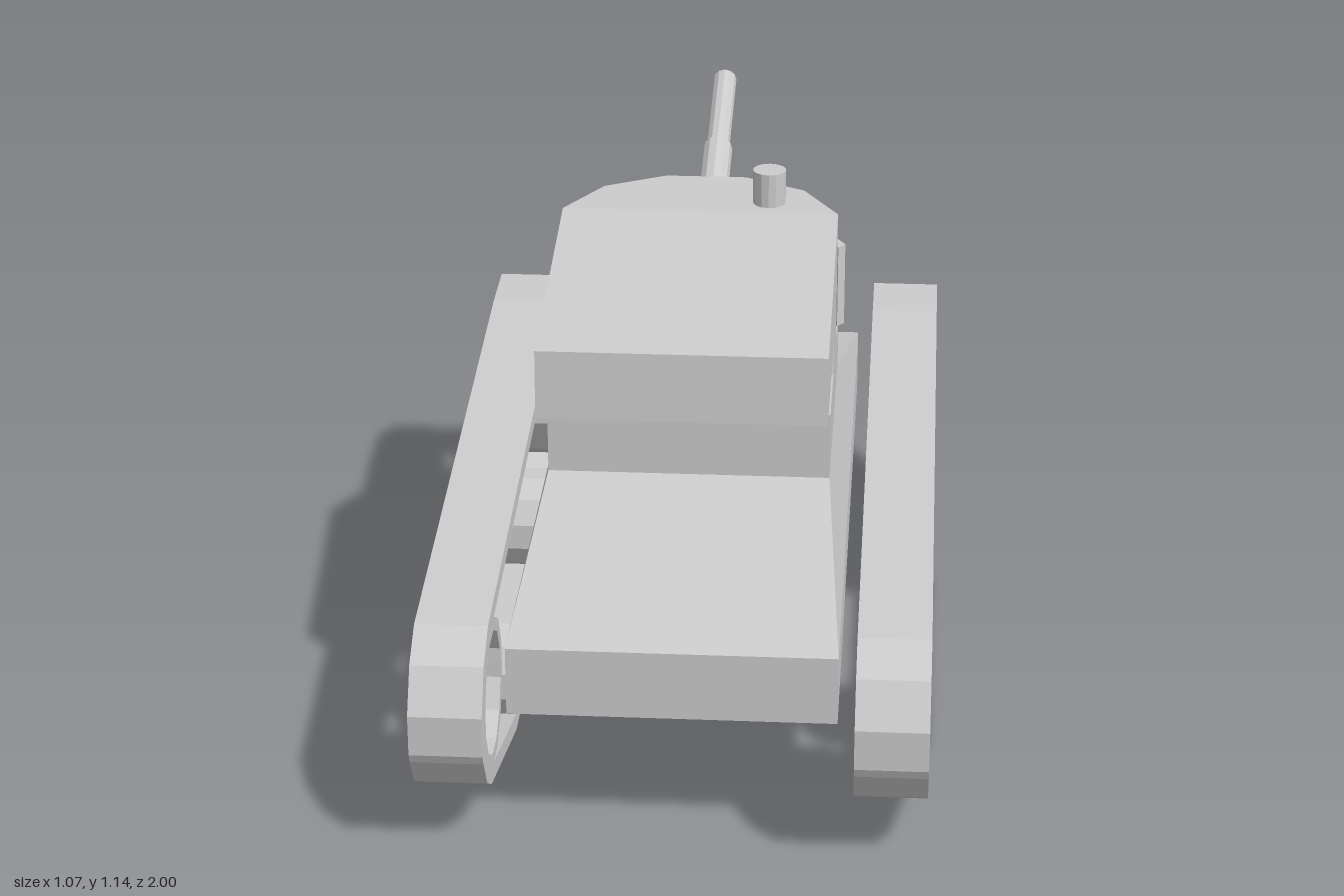
import * as THREE from 'three';
import { ConvexGeometry } from 'three/addons/geometries/ConvexGeometry.js';

const material = new THREE.MeshStandardMaterial({ color: 0xcccccc, flatShading: true });
const vec = ([x, y]) => new THREE.Vector2(x, y);

function add(parent, name, geometry) {
  const mesh = new THREE.Mesh(geometry, material);
  mesh.name = name;
  parent.add(mesh);
  return mesh;
}

// The hole is given in the same turning direction as the outline, and is reversed here
function extrude(outline, hole, depth) {
  const shape = new THREE.Shape(outline.map(vec));
  if (hole) shape.holes.push(new THREE.Path(hole.map(vec).reverse()));
  return new THREE.ExtrudeGeometry(shape, { depth, bevelEnabled: false });
}

// Side profile of [z, y] points, extruded across x from x0 to x1
function sidePrism(profile, x0, x1, hole) {
  const flip = (pts) => pts && pts.map(([z, y]) => [-z, y]);
  return extrude(flip(profile), flip(hole), x1 - x0).rotateY(Math.PI / 2).translate(x0, 0, 0);
}

// Plan of [x, z] points, extruded upwards from y0 to y1
function planPrism(plan, y0, y1) {
  return extrude(plan.map(([x, z]) => [x, -z]), null, y1 - y0).rotateX(-Math.PI / 2).translate(0, y0, 0);
}

// Completes a half plan (+x side) with its mirror image
const mirrored = (half) => [...half, ...half.map(([x, z]) => [-x, z]).reverse()];

function circle(z, y, r, n = 12) {
  return Array.from({ length: n }, (_, i) => {
    const a = ((i + 0.5) / n) * Math.PI * 2;
    return [z + r * Math.cos(a), y + r * Math.sin(a)];
  });
}

// Moves every edge of a clockwise loop inwards by d
function inset(pts, d) {
  const n = pts.length;
  const normal = (a, b) => {
    const l = Math.hypot(b[0] - a[0], b[1] - a[1]);
    return [(b[1] - a[1]) / l, (a[0] - b[0]) / l];
  };
  return pts.map((p, i) => {
    const a = normal(pts[(i + n - 1) % n], p);
    const b = normal(p, pts[(i + 1) % n]);
    const k = d / (1 + a[0] * b[0] + a[1] * b[1]);
    return [p[0] + (a[0] + b[0]) * k, p[1] + (a[1] + b[1]) * k];
  });
}

// Round bar between two [z, y] points on the centre line
function bar(from, to, r) {
  const a = new THREE.Vector3(0, from[1], from[0]);
  const b = new THREE.Vector3(0, to[1], to[0]);
  const dir = b.clone().sub(a);
  const g = new THREE.CylinderGeometry(r, r, dir.length(), 12);
  g.applyQuaternion(new THREE.Quaternion().setFromUnitVectors(new THREE.Vector3(0, 1, 0), dir.normalize()));
  const mid = a.add(b).multiplyScalar(0.5);
  return g.translate(mid.x, mid.y, mid.z);
}

export function createModel() {
  const model = new THREE.Group();
  model.name = 'tank';

  // Hull: stacked rectangles [y, half width, rear z, front z]
  const levels = [
    [0.23, 0.307, -0.32, 0.4],
    [0.306, 0.343, -0.788, 0.887],
    [0.458, 0.343, -0.788, 0.887],
    [0.61, 0.305, -0.254, 0.353],
  ];
  const corners = [];
  for (const [y, w, z0, z1] of levels)
    for (const x of [-w, w]) for (const z of [z0, z1]) corners.push(new THREE.Vector3(x, y, z));
  add(model, 'hull', new ConvexGeometry(corners));
  add(model, 'hullTop', new THREE.BoxGeometry(0.61, 0.15, 0.607).translate(0, 0.685, 0.0495));

  // Turret
  const turret = new THREE.Group();
  turret.name = 'turret';
  model.add(turret);
  const noseHalf = [[0.305, -0.04], [0.225, -0.18], [0.09, -0.254]];
  const neckHalf = [[0.085, 0.353], [0.225, 0.275], [0.305, 0.14], ...noseHalf];
  add(turret, 'turretNeck', planPrism(mirrored(neckHalf), 0.76, 0.84));
  add(turret, 'turretNose', planPrism(mirrored(noseHalf), 0.84, 1.066));
  add(turret, 'turretBody', sidePrism(
    [[-0.04, 0.84], [0.582, 0.84], [0.575, 0.99], [-0.04, 1.066]], -0.305, 0.305));
  add(turret, 'hatch', new THREE.CylinderGeometry(0.037, 0.037, 0.09, 14).translate(0.15, 1.098, -0.105));

  // Curved shield, mantlet and gun
  const shieldOuter = mirrored([[0.322, -0.052], [0.235, -0.215], [0.105, -0.303]]);
  const shieldInner = mirrored([[0.307, -0.034], [0.224, -0.198], [0.098, -0.283]]);
  add(turret, 'gunShield', planPrism([...shieldOuter, ...shieldInner.reverse()], 0.8, 0.99));
  add(turret, 'mantlet', sidePrism(
    [[-0.295, 0.975], [-0.365, 0.935], [-0.387, 0.91], [-0.387, 0.875], [-0.365, 0.85], [-0.295, 0.812]],
    -0.13, 0.13));
  const collar = add(turret, 'gunCollar', new THREE.BoxGeometry(0.116, 0.08, 0.05));
  collar.position.set(0, 0.898, -0.377);
  collar.rotation.x = 0.21;
  add(turret, 'gunSleeve', bar([-0.37, 0.897], [-0.695, 0.968], 0.035));
  add(turret, 'gunBarrel', bar([-0.68, 0.966], [-0.995, 1.037], 0.028));

  // Tracks and wheels, [z, y] outline and [z, y, outer radius, hole radius]
  const trackLoop = [
    [0.86, 0.495], [0.945, 0.445], [1, 0.355], [1, 0.265], [0.99, 0.243], [0.937, 0.167], [0.87, 0.125],
    [0.42, 0], [-0.37, 0], [-0.74, 0.145], [-0.83, 0.205], [-0.9, 0.34], [-0.9, 0.43],
    [-0.83, 0.555], [-0.745, 0.609], [-0.58, 0.609],
  ];
  const wheels = [
    ['frontWheel', 0.808, 0.31, 0.163, 0.134],
    ['rearWheel', -0.69, 0.38, 0.208, 0.174],
    ['frontRoadWheel', 0.395, 0.155, 0.118, 0.092],
    ['rearRoadWheel', -0.33, 0.155, 0.118, 0.092],
  ];
  for (const [side, x0] of [['left', 0.38], ['right', -0.533]]) {
    const x1 = x0 + 0.153;
    const running = new THREE.Group();
    running.name = side + 'RunningGear';
    model.add(running);
    add(running, side + 'Track', sidePrism(trackLoop, x0, x1, inset(trackLoop, 0.038)));
    for (const [name, z, y, r, hole] of wheels)
      add(running, name, sidePrism(circle(z, y, r), x0, x1, circle(z, y, hole)));
  }
  return model;
}
